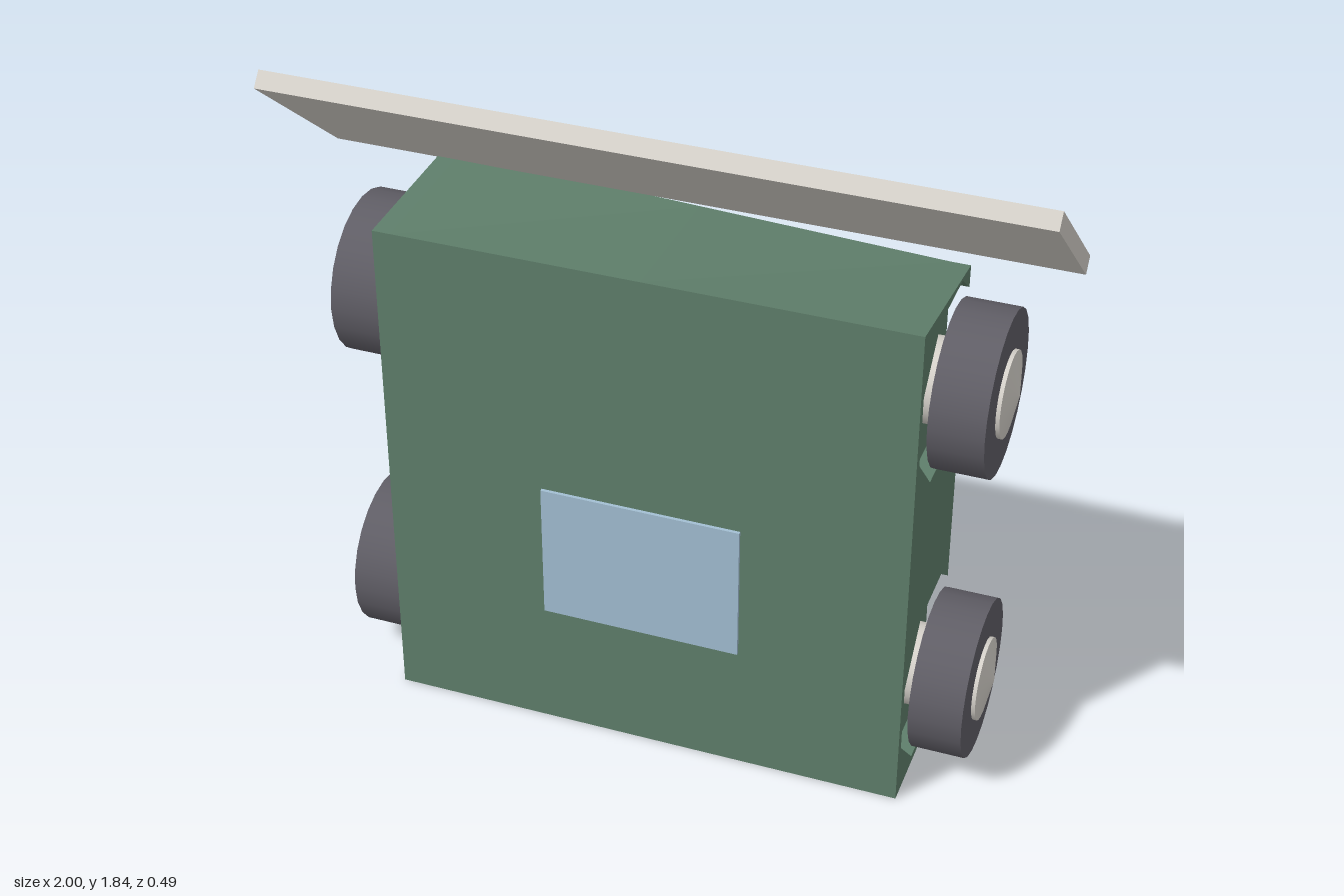
import * as THREE from 'three';

const W = 0.71, INNER = 0.66, H = 1.455, FRONT = 0.225, BACK = -0.21;
const WHEEL_Z = -0.03, WHEEL_Y = [0.257, 1.167];

export function createModel() {
  const model = new THREE.Group();
  model.name = 'cart';

  const material = (name, color) => {
    const m = new THREE.MeshStandardMaterial({ color });
    m.name = name;
    return m;
  };
  const green = material('bodyGreen', 0x5f7f6b);
  const rubber = material('tireGrey', 0x605e66);
  const cream = material('paleCream', 0xd5d1ca);
  const blue = material('windowBlue', 0xa3bfd3);

  const add = (name, geometry, mat, parent = model) => {
    const mesh = new THREE.Mesh(geometry, mat);
    mesh.name = name;
    parent.add(mesh);
    return mesh;
  };

  // Body core: the rear top edge dips toward +x, the back is slightly dented
  const core = new THREE.BoxGeometry(2 * INNER, H, FRONT - BACK, 2, 2, 1).toNonIndexed();
  core.translate(0, H / 2, (FRONT + BACK) / 2);
  const p = core.attributes.position;
  for (let i = 0; i < p.count; i++) {
    const x = p.getX(i), y = p.getY(i);
    if (p.getZ(i) > 0) continue;
    if (y > H - 0.01) p.setY(i, H - 0.055 * (x + INNER) / (2 * INNER));
    else if (Math.abs(x) < 0.01 && y > 0.1) p.setXYZ(i, 0, 0.47, BACK + 0.012);
  }
  core.computeVertexNormals();
  add('bodyCore', core, green);

  // Side plates with wheel wells open at the back
  const well = [[0.21, -0.17], [0.13, -0.235], [-0.075, -0.235], [-0.2, -0.1],
    [-0.2, 0.1], [-0.075, 0.235], [0.13, 0.235], [0.21, 0.17]];
  const sidePlate = (rearTop) => {
    const points = [[-FRONT, 0], [-BACK, 0]];
    for (const y of WHEEL_Y) for (const [s, dy] of well) points.push([s, y + dy]);
    points.push([-BACK, rearTop], [-FRONT, H]);
    const shape = new THREE.Shape(points.map(([s, y]) => new THREE.Vector2(s, y)));
    return new THREE.ExtrudeGeometry(shape, { depth: W - INNER, bevelEnabled: false })
      .rotateY(Math.PI / 2);
  };
  add('leftSidePlate', sidePlate(H - 0.055), green).position.x = INNER;
  add('rightSidePlate', sidePlate(H), green).position.x = -W;

  // Front window and the small slot at the back
  add('frontWindow', new THREE.BoxGeometry(0.54, 0.395, 0.009), blue).position.set(0, 0.583, 0.243);
  const slot = new THREE.Shape([[-0.085, 0.025], [0.085, -0.015], [0.05, -0.025], [-0.06, 0]]
    .map(([x, y]) => new THREE.Vector2(x, y)));
  const slotMesh = add('rearSlot', new THREE.ExtrudeGeometry(slot, { depth: 0.008, bevelEnabled: false }), rubber);
  slotMesh.rotation.y = Math.PI;
  slotMesh.position.set(0, 0.47, BACK + 0.008);

  // Tilted roof board
  const roof = add('roofBoard', new THREE.BoxGeometry(2, 0.048, 0.54), cream);
  roof.position.set(0, 1.643, 0.007);
  roof.rotation.x = -Math.atan2(0.35, 0.41);

  // Wheels: tire, axle stub and a shallow conical hub cap
  const tire = new THREE.CylinderGeometry(0.217, 0.217, 0.143, 24);
  const axle = new THREE.CylinderGeometry(0.112, 0.112, 0.1, 24);
  const capRim = new THREE.CylinderGeometry(0.113, 0.113, 0.014, 24, 1, true);
  const capCone = new THREE.ConeGeometry(0.113, 0.022, 24, 1, true);
  for (const side of [1, -1]) {
    WHEEL_Y.forEach((y, i) => {
      const wheel = new THREE.Group();
      wheel.name = (i ? 'upper' : 'lower') + (side > 0 ? 'Left' : 'Right') + 'Wheel';
      wheel.position.set(0, y, WHEEL_Z);
      wheel.rotation.z = -side * Math.PI / 2;
      add('tire', tire, rubber, wheel).position.y = 0.791;
      add('axle', axle, cream, wheel).position.y = 0.69;
      add('hubCapRim', capRim, cream, wheel).position.y = 0.866;
      add('hubCap', capCone, cream, wheel).position.y = 0.884;
      model.add(wheel);
    });
  }
  return model;
}
